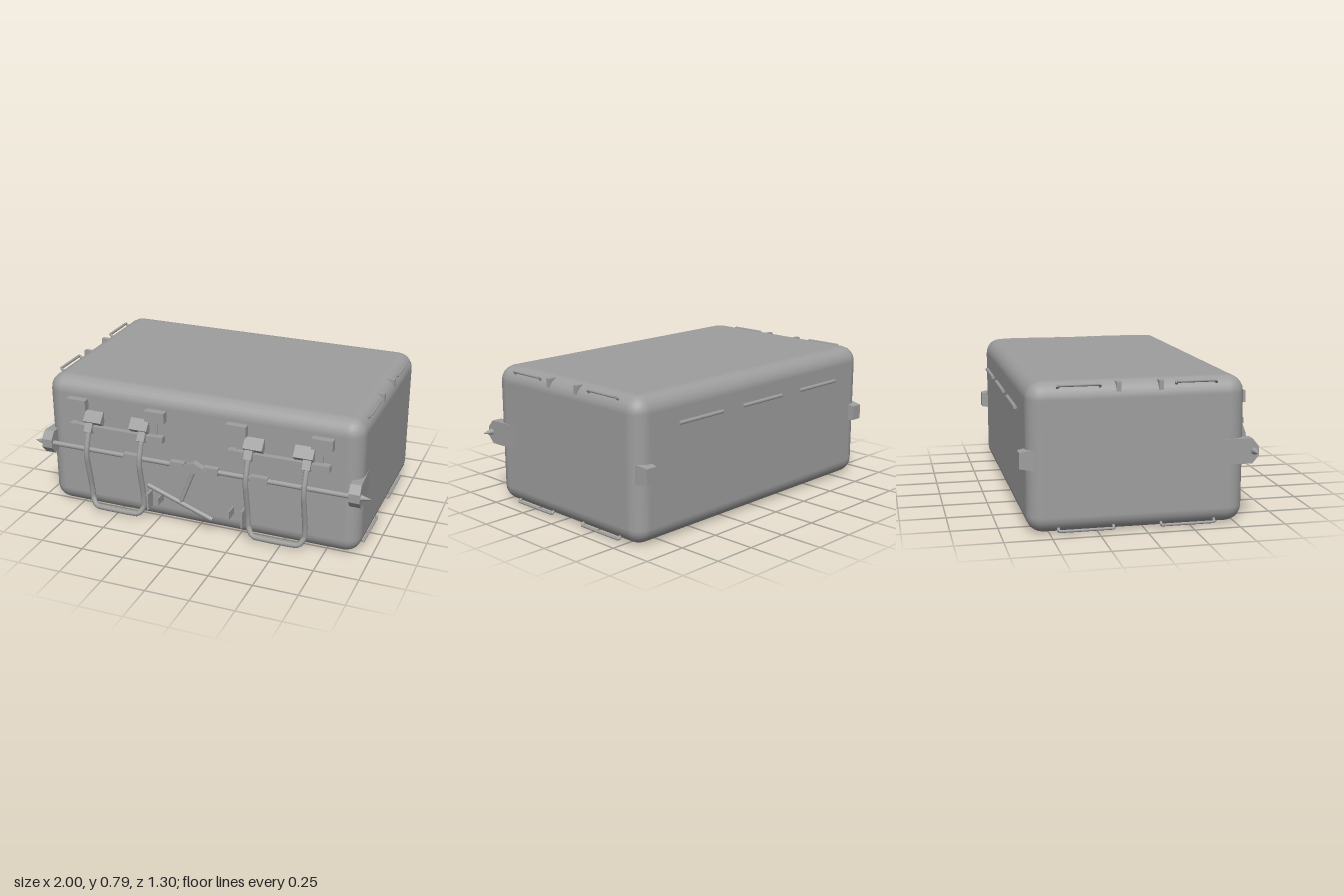
import * as THREE from 'three';
import { RoundedBoxGeometry } from 'three/addons/geometries/RoundedBoxGeometry.js';

const smooth = new THREE.MeshStandardMaterial({ color: 0x9e9e9e });
const flat = new THREE.MeshStandardMaterial({ color: 0x9e9e9e, flatShading: true });
const V = (x, y, z) => new THREE.Vector3(x, y, z);

export function createModel() {
  const model = new THREE.Group();

  const add = (name, geometry, material = flat) => {
    const mesh = new THREE.Mesh(geometry, material);
    mesh.name = name;
    model.add(mesh);
    return mesh;
  };
  const box = (name, w, h, d, x, y, z, tilt = 0) => {
    const mesh = add(name, new THREE.BoxGeometry(w, h, d));
    mesh.position.set(x, y, z);
    mesh.rotation.x = tilt;
    return mesh;
  };
  // Round bar from a to b, with a different radius at each end if wanted
  const rod = (name, a, b, ra, rb = ra) => {
    const mesh = add(name, new THREE.CylinderGeometry(rb, ra, a.distanceTo(b), 8), smooth);
    mesh.position.copy(a).lerp(b, 0.5);
    mesh.quaternion.setFromUnitVectors(V(0, 1, 0), b.clone().sub(a).normalize());
    return mesh;
  };
  const tube = (name, points, radius, segments) =>
    add(name, new THREE.TubeGeometry(new THREE.CatmullRomCurve3(points, false, 'catmullrom', 0.2), segments, radius, 8), smooth);
  // Polygon in (z, y), extruded across x around a centre
  const sidePlate = (name, points, thickness, x) => {
    const shape = new THREE.Shape(points.map(([z, y]) => new THREE.Vector2(z, y)));
    const g = new THREE.ExtrudeGeometry(shape, { depth: thickness, bevelEnabled: false });
    g.rotateY(-Math.PI / 2).translate(x + thickness / 2, 0, 0);
    return add(name, g);
  };

  // Main case
  const body = add('caseBody', new RoundedBoxGeometry(1.866, 0.792, 1.162, 3, 0.09), smooth);
  body.position.set(0, 0.3975, -0.036);

  // Locking bar with its hub and sleeves
  const barY = 0.395, barZ = 0.585;
  rod('lockingBar', V(-0.94, barY, barZ), V(0.94, barY, barZ), 0.015);
  const hub = new THREE.Shape([[-0.075, 0.385], [-0.055, 0.372], [0, 0.368], [0.06, 0.372], [0.075, 0.395], [0.05, 0.41], [0, 0.433], [-0.055, 0.41]]
    .map(([x, y]) => new THREE.Vector2(x, y)));
  add('barHub', new THREE.ExtrudeGeometry(hub, { depth: 0.04, bevelEnabled: false })).position.z = 0.567;

  // T-shaped turning handle
  rod('handleStem', V(0, 0.385, 0.593), V(-0.08, 0.175, 0.6), 0.012);
  rod('handleGrip', V(-0.28, 0.245, 0.6), V(0.11, 0.1, 0.6), 0.014);

  for (const s of [-1, 1]) {
    rod('barTip', V(s * 0.945, barY, barZ), V(s, barY, barZ), 0.019, 0.002);
    box('innerSleeve', 0.085, 0.046, 0.036, s * 0.1, barY, barZ);
    box('outerSleeve', 0.1, 0.038, 0.034, s * 0.38, barY, barZ);

    // Side bracket, its outer face running back into the case wall
    const bracket = sidePlate('sideBracket',
      [[0.31, 0.328], [0.575, 0.328], [0.61, 0.37], [0.61, 0.42], [0.575, 0.463], [0.31, 0.463]],
      0.062, s * 0.915);
    const p = bracket.geometry.attributes.position;
    for (let i = 0; i < p.count; i++) {
      if (Math.abs(p.getX(i)) > 0.915) p.setX(i, s * (0.929 + (p.getZ(i) - 0.31) * 0.06));
    }
    bracket.geometry.computeVertexNormals();

    // Carrying loop with hinges
    const cx = s * 0.482;
    const leg = [[0.165, 0.54, 0.575], [0.165, 0.49, 0.6], [0.165, 0.42, 0.626], [0.165, 0.36, 0.629],
      [0.165, 0.17, 0.59], [0.162, 0.09, 0.585], [0.125, 0.045, 0.604]];
    tube('carryLoop', [
      ...leg.map(([x, y, z]) => V(cx - x, y, z)),
      ...leg.slice().reverse().map(([x, y, z]) => V(cx + x, y, z)),
    ], 0.016, 64);
    box('hingeBar', 0.575, 0.034, 0.034, cx, 0.523, 0.567);
    for (const t of [-1, 1]) {
      box('stopBlock', 0.118, 0.062, 0.06, cx + t * 0.242, 0.659, 0.556);
      box('stopArm', 0.052, 0.1, 0.014, cx + t * 0.218, 0.585, 0.544);
      box('hingePlate', 0.11, 0.07, 0.045, cx + t * 0.142, 0.583, 0.556, -0.7);
      box('loopSocket', 0.045, 0.055, 0.036, cx + t * 0.165, 0.528, 0.582, -0.55);
      box('barFoot', 0.045, 0.037, 0.036, cx + t * 0.265, 0.523, 0.56);
    }

    // Small loop catches low on the front
    box('catchPlate', 0.008, 0.045, 0.085, s * 0.215, 0.157, 0.578);
    box('catchFin', 0.008, 0.1, 0.07, s * 0.285, 0.135, 0.572);
    rod('catchPin', V(s * 0.285, 0.185, 0.535), V(s * 0.285, 0.185, 0.615), 0.01);

    // Tapered block on each rear corner
    const block = new THREE.BoxGeometry(0.09, 0.112, 0.08);
    const q = block.attributes.position;
    for (let i = 0; i < q.count; i++) {
      if (q.getZ(i) < 0) q.setXY(i, q.getX(i) * 0.75, q.getY(i) * 0.76);
    }
    block.computeVertexNormals();
    add('rearCornerBlock', block).position.set(s * 0.872, 0.395, -0.614);

    // Lashing rails along the upper and lower side edges
    const rail = (z0, z1, y, innerY) => {
      const x = s * 0.923, innerX = s * 0.885;
      rod('edgeRail', V(x, y, z0), V(x, y, z1), 0.008);
      for (const z of [z0, z1]) rod('edgeRailPost', V(innerX, innerY, z), V(x, y, z), 0.008);
    };
    rail(0.38, 0.165, 0.777, 0.742);
    rail(-0.235, -0.455, 0.777, 0.742);
    rail(0.38, 0.09, 0.016, 0.053);
    rail(-0.165, -0.455, 0.016, 0.053);

    // Wedge clips on the upper side edges
    for (const z of [0.083, -0.14]) {
      const wedge = new THREE.Shape([V(s * 0.86, 0.786), V(s * 0.926, 0.786), V(s * 0.926, 0.725), V(s * 0.88, 0.74)]);
      add('edgeClip', new THREE.ExtrudeGeometry(wedge, { depth: 0.026, bevelEnabled: false })).position.z = z - 0.013;
    }
  }

  // Three rails across the back
  for (const x of [-0.491, 0, 0.491]) {
    rod('backRail', V(x - 0.165, 0.625, -0.636), V(x + 0.165, 0.625, -0.636), 0.011);
  }
  return model;
}
